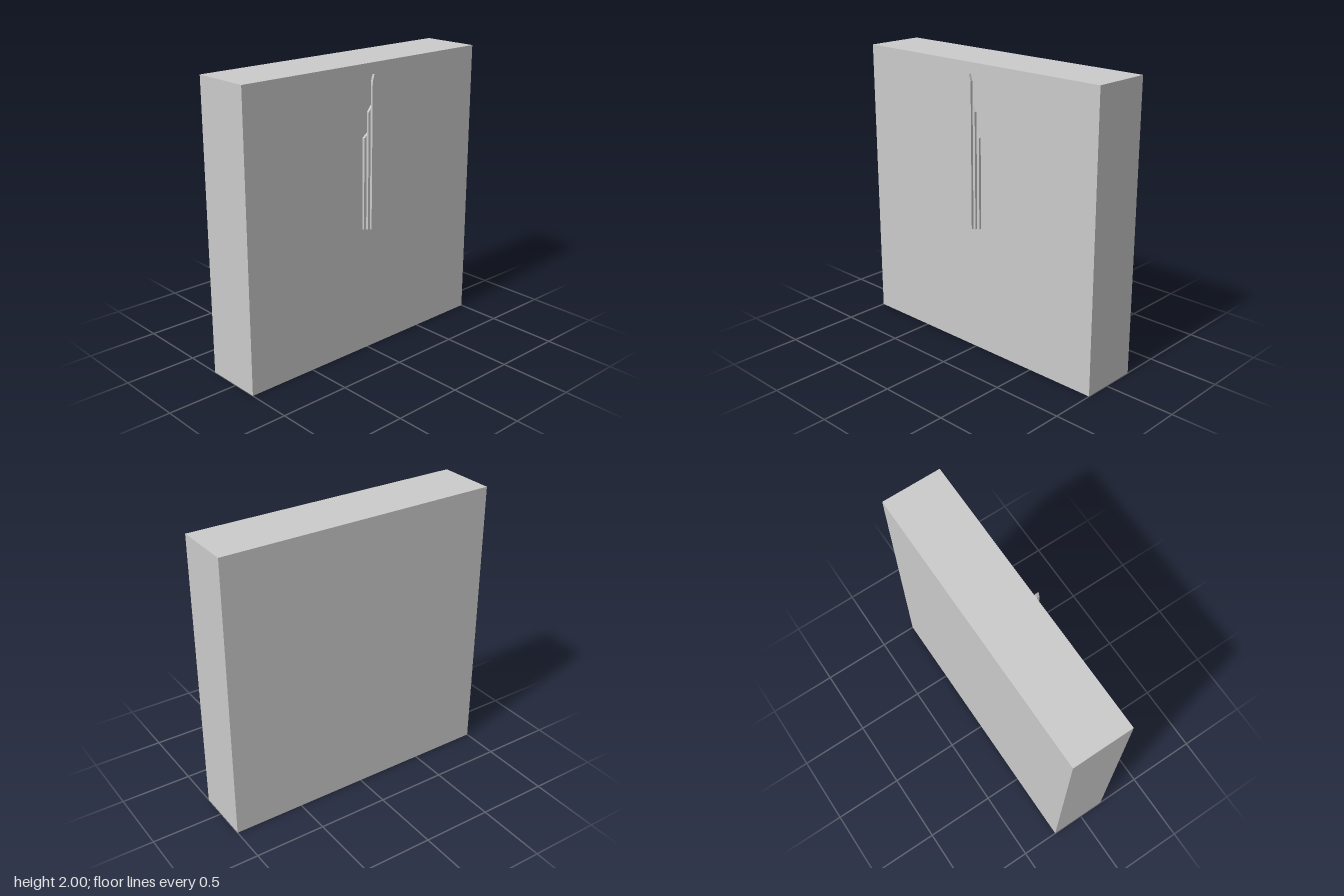
import * as THREE from 'three';

const material = new THREE.MeshStandardMaterial({ color: 0xcccccc, flatShading: true });

const BACK = -0.232, WALL = 0.182, STEP = 0.0167, BASE = 0.89;

// Upright strip with a pointed top, extruded towards the front
function pointedStrip(name, halfWidth, shoulder, apex, z) {
  const shape = new THREE.Shape([
    new THREE.Vector2(-halfWidth, BASE),
    new THREE.Vector2(halfWidth, BASE),
    new THREE.Vector2(halfWidth, shoulder),
    new THREE.Vector2(0, apex),
    new THREE.Vector2(-halfWidth, shoulder),
  ]);
  const geometry = new THREE.ExtrudeGeometry(shape, { depth: STEP, bevelEnabled: false });
  const mesh = new THREE.Mesh(geometry, material);
  mesh.name = name;
  mesh.position.z = z;
  return mesh;
}

export function createModel() {
  const model = new THREE.Group();
  model.name = 'wallPanel';

  // Plain thick slab
  const slab = new THREE.Mesh(new THREE.BoxGeometry(2, 2, WALL - BACK), material);
  slab.name = 'slab';
  slab.position.set(0, 1, (WALL + BACK) / 2);
  model.add(slab);

  // Stepped ornament: each layer is narrower, taller and further forward
  const ornament = new THREE.Group();
  ornament.name = 'steppedOrnament';
  [
    ['outerLayer', 0.052, 1.52, 1.562],
    ['middleLayer', 0.032, 1.69, 1.732],
    ['innerLayer', 0.014, 1.89, 1.935],
  ].forEach(([name, halfWidth, shoulder, apex], i) => {
    ornament.add(pointedStrip(name, halfWidth, shoulder, apex, WALL + i * STEP));
  });
  model.add(ornament);

  return model;
}
